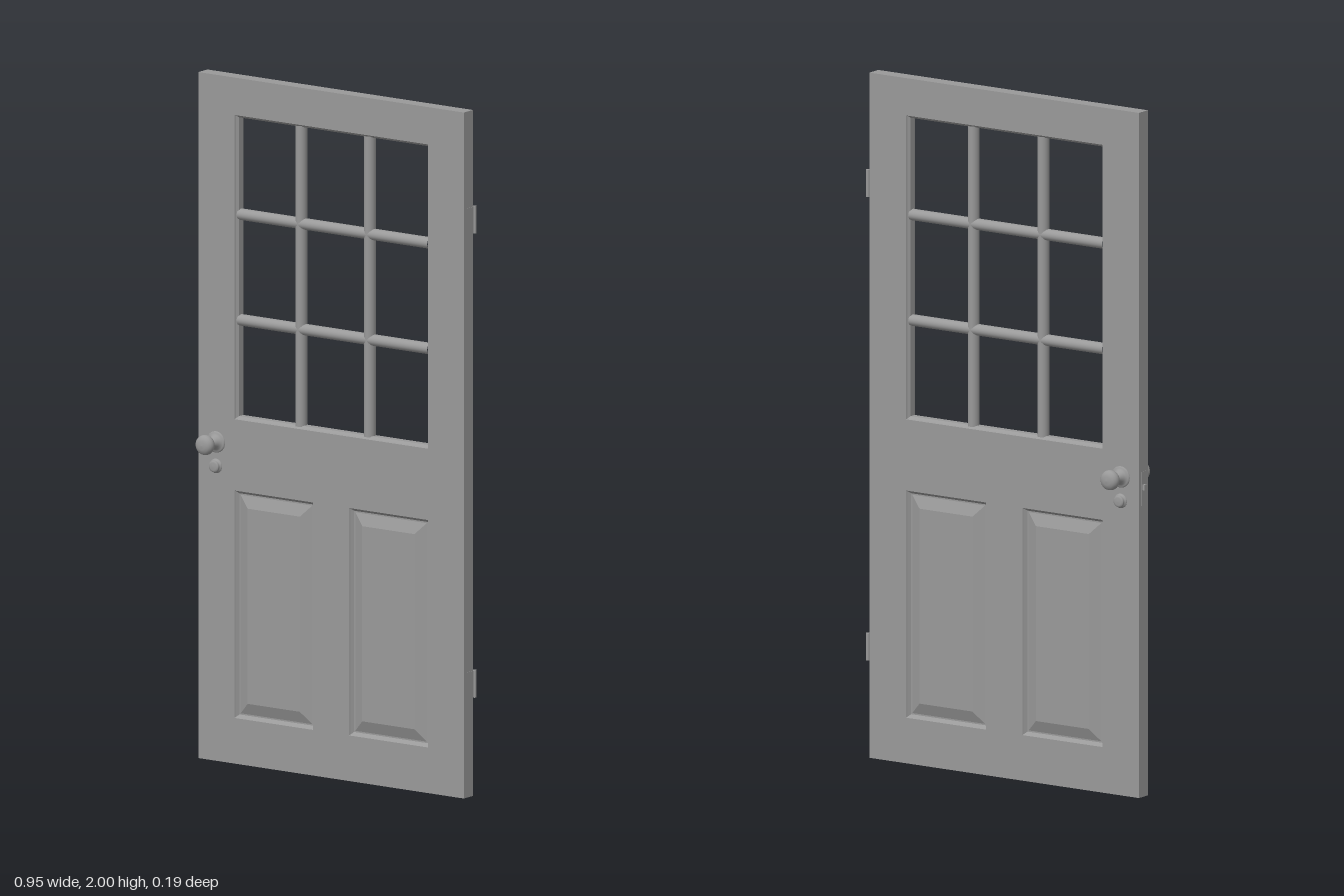
import * as THREE from 'three';

const mat = new THREE.MeshStandardMaterial({ color: 0x999999 });
const W = 0.468, H = 2, FACE = 0.022;
const WINDOW = [-0.341, 1.004, 0.341, 1.891];
const PANELS = [[-0.341, 0.133, -0.063, 0.796], [0.063, 0.133, 0.341, 0.796]];

function add(parent, geometry, name, x = 0, y = 0, z = 0) {
  const mesh = new THREE.Mesh(geometry, mat);
  mesh.name = name;
  mesh.position.set(x, y, z);
  parent.add(mesh);
  return mesh;
}

// Rectangular rings, each [inset, z], joined into a stepped surface; optionally capped
function rectLoft([x0, y0, x1, y1], rings, cap) {
  const pos = [], index = [];
  for (const [i, z] of rings) {
    pos.push(x0 + i, y0 + i, z, x1 - i, y0 + i, z, x1 - i, y1 - i, z, x0 + i, y1 - i, z);
  }
  for (let r = 0; r < rings.length - 1; r++) {
    for (let k = 0; k < 4; k++) {
      const a = r * 4 + k, b = r * 4 + (k + 1) % 4;
      index.push(a, b, b + 4, a, b + 4, a + 4);
    }
  }
  const n = (rings.length - 1) * 4;
  if (cap) index.push(n, n + 1, n + 2, n, n + 2, n + 3);
  let g = new THREE.BufferGeometry();
  g.setAttribute('position', new THREE.Float32BufferAttribute(pos, 3));
  g.setIndex(index);
  g = g.toNonIndexed();
  g.computeVertexNormals();
  return g;
}

function rectPath(PathType, [x0, y0, x1, y1]) {
  const p = new PathType();
  p.moveTo(x0, y0);
  p.lineTo(x1, y0);
  p.lineTo(x1, y1);
  p.lineTo(x0, y1);
  p.closePath();
  return p;
}

// Rounded glazing bar standing along y
function barGeometry(length) {
  return new THREE.CylinderGeometry(0.0165, 0.0165, length, 24, 1, true).scale(1, 1, 1.1);
}

// Turned profile [radius, distance], pointing to +z
function turned(profile) {
  const pts = profile.map(p => new THREE.Vector2(...p));
  return new THREE.LatheGeometry(pts, 32).rotateX(Math.PI / 2);
}

export function createModel() {
  const door = new THREE.Group();
  door.name = 'door';

  // Stiles and rails: one slab with the window and panel openings
  const slab = rectPath(THREE.Shape, [-W, 0, W, H]);
  [WINDOW, ...PANELS].forEach(r => slab.holes.push(rectPath(THREE.Path, r)));
  add(door, new THREE.ExtrudeGeometry(slab, { depth: FACE * 2, bevelEnabled: false }),
    'doorFrame', 0, 0, -FACE);

  // Moulding round the window opening
  add(door, rectLoft(WINDOW, [[0, FACE], [0.002, FACE - 0.005], [0.008, FACE - 0.012],
    [0.008, -FACE + 0.012], [0.002, -FACE + 0.005], [0, -FACE]], false), 'windowMoulding');

  // Glazing bars
  const [wx0, wy0, wx1, wy1] = WINDOW;
  for (const x of [-0.121, 0.121]) {
    add(door, barGeometry(wy1 - wy0 - 0.01), 'verticalGlazingBar', x, (wy0 + wy1) / 2, 0);
  }
  for (const y of [1.291, 1.599]) {
    add(door, barGeometry(wx1 - wx0 - 0.01).rotateZ(Math.PI / 2), 'horizontalGlazingBar', 0, y, 0);
  }

  // Raised panels on both faces
  const panelRings = [[0, FACE], [0.003, FACE - 0.005], [0.009, FACE - 0.013],
    [0.013, FACE - 0.013], [0.047, FACE + 0.0003]];
  for (const back of [false, true]) {
    for (const rect of PANELS) {
      const panel = add(door, rectLoft(rect, panelRings, true), 'raisedPanel');
      if (back) panel.rotation.y = Math.PI;
    }
  }

  // Knob and lock on both faces
  const knob = turned([[0.031, 0], [0.031, 0.003], [0.027, 0.005], [0.021, 0.007],
    [0.018, 0.014], [0.013, 0.023], [0.0115, 0.03], [0.014, 0.036], [0.02, 0.039],
    [0.026, 0.043], [0.029, 0.05], [0.029, 0.056], [0.027, 0.063], [0.021, 0.069],
    [0.012, 0.072], [0, 0.073]]);
  const lock = turned([[0.021, 0], [0.021, 0.003], [0.017, 0.005], [0.016, 0.008],
    [0.017, 0.011], [0.016, 0.014], [0.011, 0.0155], [0, 0.016]]);
  for (const side of [0, Math.PI]) {
    const z = side ? -FACE : FACE;
    add(door, knob, 'doorKnob', -0.405, 0.93, z).rotation.y = side;
    add(door, lock, 'deadboltTurn', -0.405, 0.86, z).rotation.y = side;
  }

  // Latch in the door edge
  add(door, new THREE.BoxGeometry(0.001, 0.1, 0.022), 'latchPlate', -W, 0.9, 0);
  add(door, new THREE.BoxGeometry(0.014, 0.016, 0.011), 'latchBolt', -W, 0.904, 0);

  // Hinges on the back edge
  for (const y of [0.326, 1.679]) {
    const hinge = new THREE.Group();
    hinge.name = 'hinge';
    hinge.position.set(W, y, 0);
    add(hinge, new THREE.CylinderGeometry(0.0055, 0.0055, 0.08, 16), 'hingeBarrel', 0, 0, -0.03);
    add(hinge, new THREE.BoxGeometry(0.002, 0.078, 0.04), 'hingeLeaf', 0, 0, -0.01);
    door.add(hinge);
  }
  return door;
}
